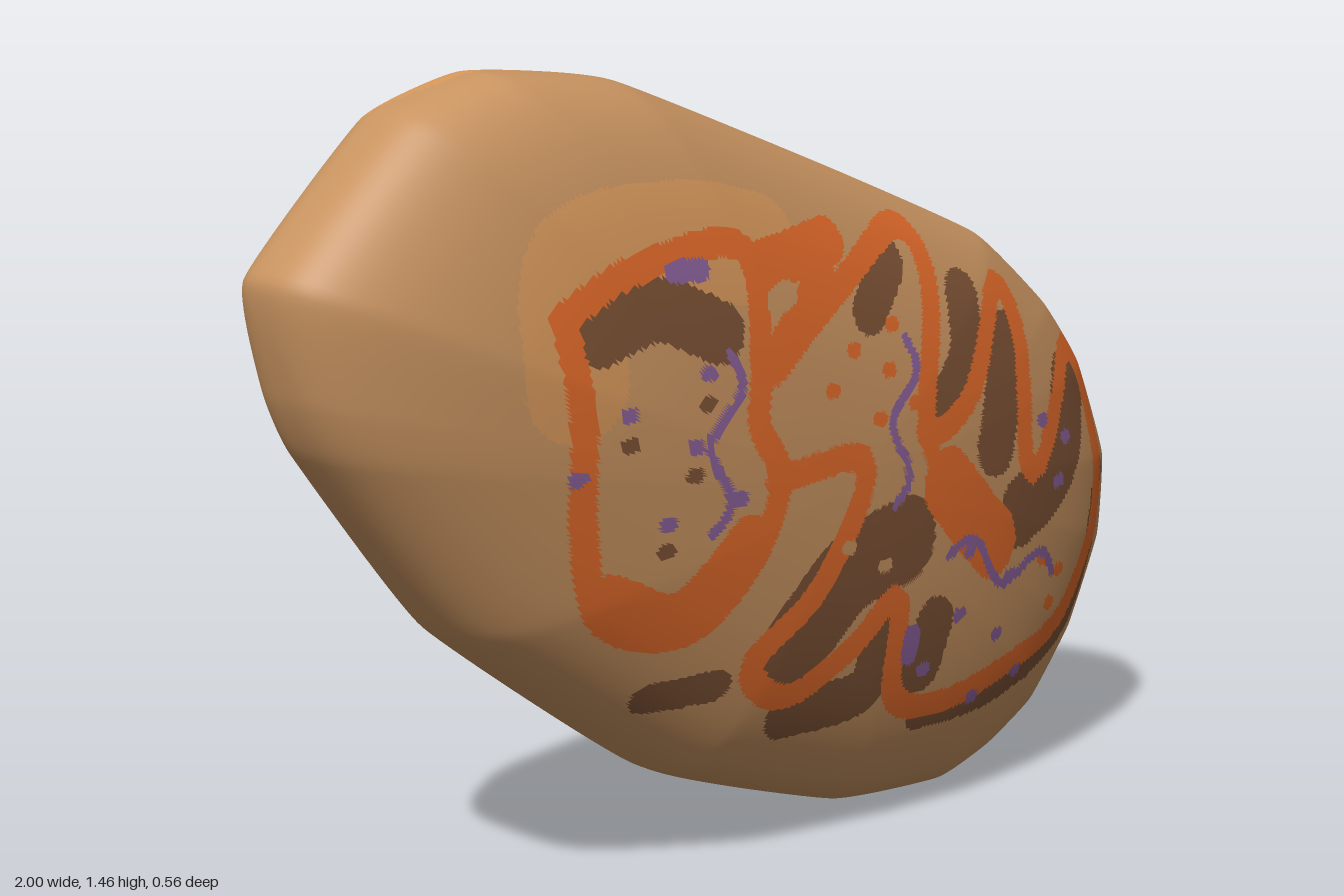
import * as THREE from 'three';

const material = (name, color) => Object.assign(new THREE.MeshStandardMaterial({ color }), { name });

// Flat x, y lists in hundredths of a unit become sampled curves; low tension keeps corners
function smooth(list, closed, samples, tension = 0.5) {
  const pts = [];
  for (let i = 0; i < list.length; i += 2) pts.push(new THREE.Vector3(list[i] / 100, list[i + 1] / 100, 0));
  return new THREE.CatmullRomCurve3(pts, closed, 'catmullrom', tension).getSpacedPoints(samples);
}

function distanceTo(pts, x, y) {
  let best = Infinity;
  for (let i = 0; i < pts.length - 1; i++) {
    const a = pts[i], dx = pts[i + 1].x - a.x, dy = pts[i + 1].y - a.y;
    const k = THREE.MathUtils.clamp(((x - a.x) * dx + (y - a.y) * dy) / (dx * dx + dy * dy), 0, 1);
    best = Math.min(best, Math.hypot(x - a.x - k * dx, y - a.y - k * dy));
  }
  return best;
}

function inside(pts, x, y) {
  let hit = false;
  for (let i = 0, j = pts.length - 1; i < pts.length; j = i++) {
    const a = pts[i], b = pts[j];
    if ((a.y > y) !== (b.y > y) && x < ((b.x - a.x) * (y - a.y)) / (b.y - a.y) + a.x) hit = !hit;
  }
  return hit;
}

// A painted round-ended stroke, with a bounding box check for speed
function stroke(colour, width, ...list) {
  const pts = smooth(list, false, list.length * 3);
  const box = new THREE.Box3().setFromPoints(pts).expandByScalar(width);
  const test = (x, y) => x > box.min.x && x < box.max.x && y > box.min.y && y < box.max.y &&
    distanceTo(pts, x, y) < width;
  return { colour, test };
}

// A wavy thread between two points
function thread(x0, y0, x1, y1) {
  const list = [];
  for (let i = 0; i <= 8; i++) {
    const k = i / 8, sway = 0.1 * Math.sin(k * Math.PI * 3);
    list.push(x0 + (x1 - x0) * k - (y1 - y0) * sway, y0 + (y1 - y0) * k + (x1 - x0) * sway);
  }
  return stroke('strands', 0.01, ...list);
}

// Grains spread in a spiral around a point
function grains(colour, count, x, y, reach) {
  return Array.from({ length: count }, (_, i) => {
    const r = reach * Math.sqrt((i + 0.6) / count), a = i * 2.4;
    const gx = x + r * Math.cos(a), gy = y + r * Math.sin(a);
    return stroke(colour, 0.014, gx, gy, gx + 1, gy);
  });
}

const paleArea = [stroke('paleSkin', 0.1, -55, 95, -53, 114, -30, 117, -13, 114)];

// Dark hollows between the folds
const hollows = [
  stroke('hollows', 0.055, -50, 103, -38, 106, -25, 101),
  stroke('hollows', 0.045, 21, 109, 13, 101),
  stroke('hollows', 0.05, 41, 101, 39, 90, 32, 82),
  stroke('hollows', 0.06, 53, 91, 47, 72),
  stroke('hollows', 0.075, 76, 80, 69, 65, 56, 58),
  stroke('hollows', 0.085, 20, 58, 6, 54, -5, 43),
  stroke('hollows', 0.05, 15, 41, 13, 30, -4, 28),
  stroke('hollows', 0.032, -34, 36, -22, 37),
  stroke('hollows', 0.055, 30, 40, 28, 32),
  stroke('hollows', 0.028, 30, 21, 54, 22, 80, 32, 89, 60),
];

// Left chamber wall, folded right wall and their thick places
const membrane = [
  stroke('membrane', 0.026, -57, 106, -42, 113, -18, 115, -16, 95, -17, 84, -12, 74, -18, 59, -31, 48, -47, 53, -53, 70,
    -54, 88, -57, 106),
  stroke('membrane', 0.026, -13, 74, 9, 74, -1, 53, -15, 40, -6, 32, 8, 39, 19, 47, 21, 28, 33, 23, 54, 26, 76, 33,
    88, 54, 84, 80, 76, 86, 63, 67, 57, 69, 58, 95, 52, 101, 39, 82, 26, 79, 32, 107, 25, 115, 1, 103, -13, 93),
  stroke('membrane', 0.045, -14, 111, 5, 114),
  stroke('membrane', 0.035, 2, 109, -12, 96),
  stroke('membrane', 0.045, -47, 57, -33, 52, -19, 64),
  stroke('membrane', 0.07, 32, 67, 40, 59, 47, 53),
  stroke('membrane', 0.022, 25, 78, 30, 68),
  stroke('skin', 0.025, -11, 105, -8, 106),
];

const frontLayers = [
  ...paleArea, ...hollows, ...membrane,
  ...grains('skin', 2, 10, 54, 8), ...grains('hollows', 4, -38, 77, 16), ...grains('membrane', 6, 12, 90, 13),
  ...grains('membrane', 3, 68, 43, 7),
  ...grains('strands', 6, -38, 82, 20), ...grains('strands', 7, 44, 34, 20), ...grains('strands', 3, 68, 70, 9),
  stroke('strands', 0.02, -34, 112, -28, 112), stroke('strands', 0.022, 24, 39, 24, 35),
  thread(-23, 97, -27, 66), thread(22, 95, 17, 65), thread(33, 53, 69, 43),
].reverse();

// Body outline, clockwise from the pointed end
const columns = 400;
const outline = smooth([-100, 114, -76, 139, -57, 145.5, -31, 143.5, 20, 126, 60, 111, 80, 96, 91, 83, 100, 62, 99, 44,
  90, 25, 78, 11, 65, 4, 51, 0, 23, 2, -20, 16.5, -66, 50, -92, 84, -97, 95], true, columns, 0.2);

// Broad back patch with lobes along its upper edge
const backPatch = smooth([-41, 136, -66, 134, -89, 117, -83, 89, -69, 70, -52, 48, -30, 29, -5, 18, 13, 11, 40, 8,
  62, 10, 88, 24, 105, 30, 105, 58, 95, 70, 81, 81, 70, 80, 61, 97, 47, 92, 28, 111, 12, 109, 1, 120, -13, 117,
  -26, 129, -37, 123], true, 110);

// Slits cut into the back patch: half width, then two ends
const slits = [
  [3, 70, 82, 58, 49], [3, 47, 92, 16, 44], [3.5, 12, 109, 6, 91], [4.5, -13, 117, -20, 98], [3, -37, 123, -43, 112],
  [2.5, 34, 82, 15, 67], [3.8, -10, 78, -58, 44], [2.5, 51, 37, 40, 5], [2.5, -39, 90, -41, 88],
].map(([width, ...ends]) => ({ width: width / 100, pts: smooth(ends, false, 1) }));
const backHollows = [
  stroke('hollows', 0.03, -13, 110, -19, 98),
  stroke('hollows', 0.018, 9, 96, 6, 91),
  stroke('hollows', 0.014, 27, 77, 21, 72),
  stroke('hollows', 0.014, -41, 116, -43, 112),
  stroke('hollows', 0.022, -38, 90, -41, 88),
  stroke('hollows', 0.025, -44, 54, -49, 51),
];

function colourAt(x, y, z) {
  const onTop = (layers) => layers.find((layer) => layer.test(x, y))?.colour;
  if (z > 0.025) return onTop(frontLayers) ?? 'skin';
  let depth = distanceTo(backPatch, x, y) * (inside(backPatch, x, y) ? 1 : -1);
  for (const s of slits) depth = Math.min(depth, distanceTo(s.pts, x, y) - s.width);
  // Paler skin beside the patch and in two oval areas along the ridge
  const oval = (ox, oz) => y > 0.7 && Math.hypot((x - ox) / 0.29, (z - oz) / 0.09) < 1;
  const ground = depth > -0.03 || oval(0.64, -0.03) || oval(-0.48, -0.08) ? 'paleSkin' : 'skin';
  return onTop(backHollows) ?? (depth > 0.02 ? 'backMembrane' : depth > -0.008 ? 'membraneEdge' : ground);
}

export function createModel() {
  const group = new THREE.Group();
  group.name = 'foldedCapsule';
  const materials = {
    skin: material('tan', 0xc89360),
    paleSkin: material('pale tan', 0xd6975b),
    membrane: material('orange', 0xe26a2a),
    membraneEdge: material('soft orange', 0xdf6a30),
    backMembrane: material('deep orange', 0xde6220),
    hollows: material('brown', 0x7d5235),
    strands: material('purple', 0x8b619b),
  };

  // Flattened egg-shaped body: the outline shrinks to its centre as it rises in z
  const frontRows = 110, backRows = 60, rows = frontRows + backRows;
  const cx = 0.05, cy = 0.7, positions = [];
  for (let i = 0; i <= rows; i++) {
    const t = (Math.PI / 2) * (i <= frontRows ? i / frontRows : 1 + (i - frontRows) / backRows);
    const s = Math.sin(t), c = Math.cos(t);
    const z = 0.28 * Math.sign(c) * Math.abs(c) ** 0.73;
    for (let j = 0; j < columns; j++) {
      positions.push(cx + s * (outline[j].x - cx), cy + s * (outline[j].y - cy), z);
    }
  }

  // Sort every face into the part it belongs to
  const faces = Object.fromEntries(Object.keys(materials).map((k) => [k, []]));
  const all = [];
  const addFace = (...f) => {
    const mid = (k) => (positions[f[0] * 3 + k] + positions[f[1] * 3 + k] + positions[f[2] * 3 + k]) / 3;
    faces[colourAt(mid(0), mid(1), mid(2))].push(...f);
    all.push(...f);
  };
  for (let i = 0; i < rows; i++) {
    for (let j = 0; j < columns; j++) {
      const k = (j + 1) % columns;
      const a = i * columns + j, b = i * columns + k, c = b + columns, d = a + columns;
      if (i > 0) addFace(a, b, c);
      if (i < rows - 1) addFace(a, c, d);
    }
  }
  const surface = new THREE.BufferGeometry();
  surface.setAttribute('position', new THREE.Float32BufferAttribute(positions, 3));
  surface.setIndex(all);
  surface.computeVertexNormals();
  surface.computeBoundingBox();
  surface.translate(0, -surface.boundingBox.min.y, 0);

  for (const [name, list] of Object.entries(faces)) {
    const mesh = new THREE.Mesh(surface.setIndex(list).toNonIndexed(), materials[name]);
    mesh.name = name;
    group.add(mesh);
  }
  return group;
}
